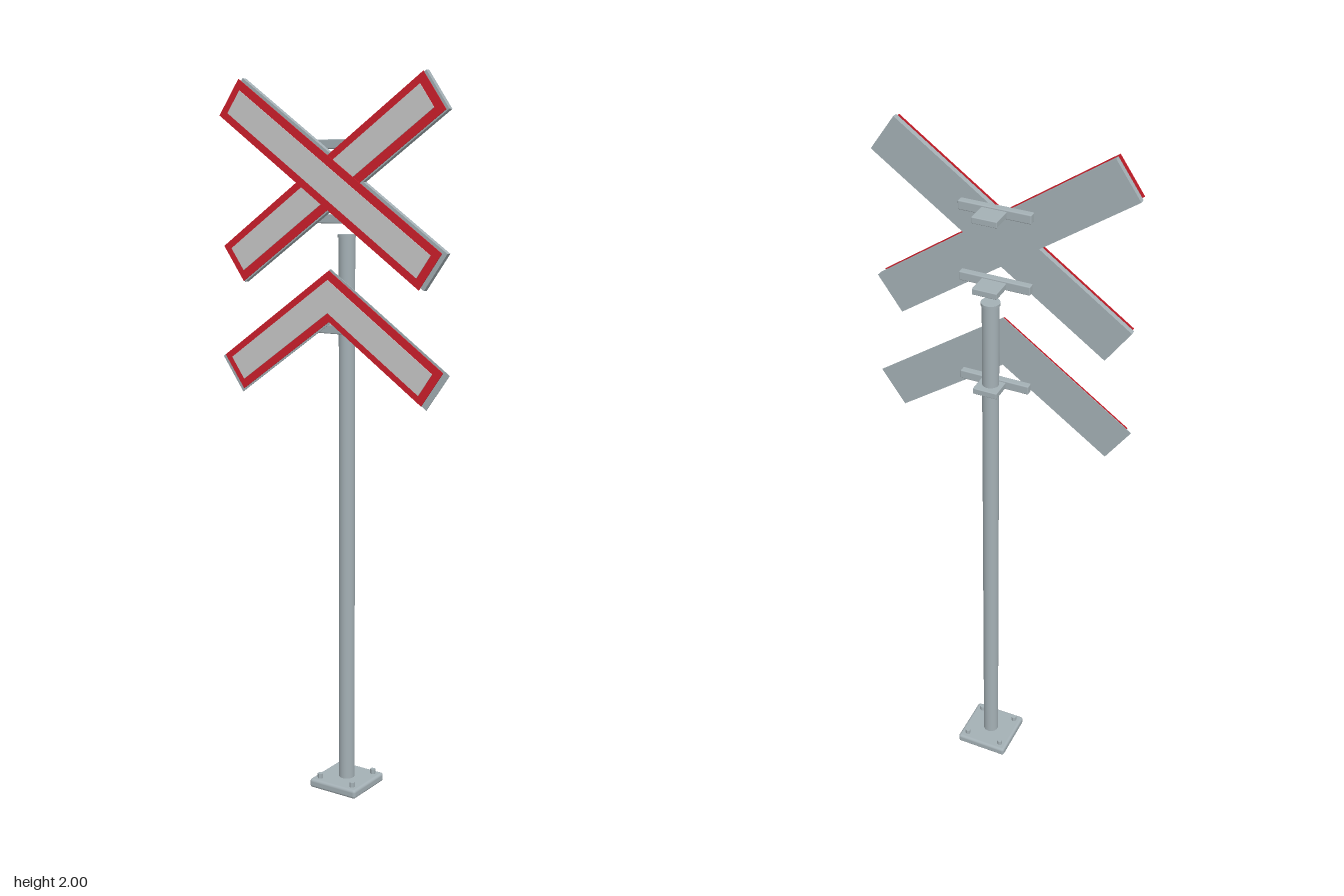
import * as THREE from 'three';
import { RoundedBoxGeometry } from 'three/addons/geometries/RoundedBoxGeometry.js';

const TILT = THREE.MathUtils.degToRad(35.1); // slope of every sign arm
const C = Math.cos(TILT), S = Math.sin(TILT);
const CROSS_Y = 1.725;
const POLE_Z = -0.014;

const steel = new THREE.MeshStandardMaterial({ color: 0xa4b0b5 });
const red = new THREE.MeshStandardMaterial({ color: 0xd0202c });
const grey = new THREE.MeshStandardMaterial({ color: 0xcccccc });

function add(parent, name, geometry, material, x = 0, y = 0, z = 0) {
  const mesh = new THREE.Mesh(geometry, material);
  mesh.name = name;
  mesh.position.set(x, y, z);
  parent.add(mesh);
  return mesh;
}

// Flat sheet cut from a polygon, its back at local z = 0
function sheet(points, depth) {
  const shape = new THREE.Shape(points.map(([x, y]) => new THREE.Vector2(x, y)));
  return new THREE.ExtrudeGeometry(shape, { depth, bevelEnabled: false });
}

// X outline: arms of half length l and half width w
function crossOutline(l, w) {
  const ex = l * C, ey = l * S, nx = w * S, ny = w * C;
  return [
    [w / S, 0], [ex + nx, ey - ny], [ex - nx, ey + ny],
    [0, w / C], [-ex + nx, ey + ny], [-ex - nx, ey - ny],
    [-w / S, 0], [-ex - nx, -ey + ny], [-ex + nx, -ey - ny],
    [0, -w / C], [ex - nx, -ey - ny], [ex + nx, -ey + ny],
  ];
}

// Chevron outline about its mid-line apex; ends cut square to the arms
function chevronOutline(l, w) {
  const ex = l * C, ey = -l * S, nx = w * S, ny = w * C;
  return [
    [0, w / C], [-ex - nx, ey + ny], [-ex + nx, ey - ny],
    [0, -w / C], [ex - nx, ey - ny], [ex + nx, ey + ny],
  ];
}

// One bordered blade of the cross: red sheet with a smaller grey sheet ahead of it
function addBlade(parent, name, angle, zRed, zGrey) {
  const blade = new THREE.Group();
  blade.name = name;
  blade.position.y = CROSS_Y;
  blade.rotation.z = angle;
  add(blade, 'redBorder', new THREE.BoxGeometry(0.78, 0.116, 0.002), red, 0, 0, zRed);
  add(blade, 'greyFace', new THREE.BoxGeometry(0.736, 0.072, 0.002), grey, 0, 0, zGrey);
  parent.add(blade);
}

// Horizontal bar with a block that grips the pole
function addBracket(parent, y) {
  const bracket = new THREE.Group();
  bracket.name = 'bracket';
  bracket.position.y = y;
  add(bracket, 'bar', new RoundedBoxGeometry(0.196, 0.025, 0.02, 2, 0.003), steel, 0, 0, 0.016);
  add(bracket, 'clampBlock', new RoundedBoxGeometry(0.068, 0.017, 0.06, 2, 0.002), steel, 0, 0, -0.023);
  parent.add(bracket);
}

export function createModel() {
  const model = new THREE.Group();
  model.name = 'crossingSign';

  // Base plate with four hex bolts
  add(model, 'basePlate', new RoundedBoxGeometry(0.156, 0.026, 0.156, 3, 0.008), steel, 0, 0.013, POLE_Z);
  const bolt = new THREE.CylinderGeometry(0.008, 0.008, 0.02, 6).toNonIndexed();
  bolt.computeVertexNormals();
  for (const sx of [-1, 1]) {
    for (const sz of [-1, 1]) {
      add(model, 'bolt', bolt, steel, sx * 0.055, 0.03, POLE_Z + sz * 0.055);
    }
  }

  // Pole and its cap
  add(model, 'pole', new THREE.CylinderGeometry(0.0225, 0.0225, 1.555, 24), steel, 0, 0.8, POLE_Z);
  add(model, 'poleCap', new THREE.CylinderGeometry(0.025, 0.025, 0.008, 24), steel, 0, 1.581, POLE_Z);

  // Mounting brackets
  for (const y of [1.33, 1.627, 1.823]) addBracket(model, y);

  // Crossed sign: solid backing, then two layered blades
  add(model, 'crossBacking', sheet(crossOutline(0.394, 0.059), 0.015), steel, 0, CROSS_Y, 0.049);
  addBlade(model, 'rearBlade', TILT, 0.073, 0.08);
  addBlade(model, 'frontBlade', -TILT, 0.085, 0.089);

  // Chevron below: backing, red border, grey face
  add(model, 'chevronBacking', sheet(chevronOutline(0.408, 0.059), 0.002), steel, 0, 1.424, 0.063);
  add(model, 'chevronBorder', sheet(chevronOutline(0.393, 0.056), 0.002), red, 0, 1.424, 0.072);
  add(model, 'chevronFace', sheet(chevronOutline(0.372, 0.036), 0.002), grey, 0, 1.424, 0.079);

  return model;
}
